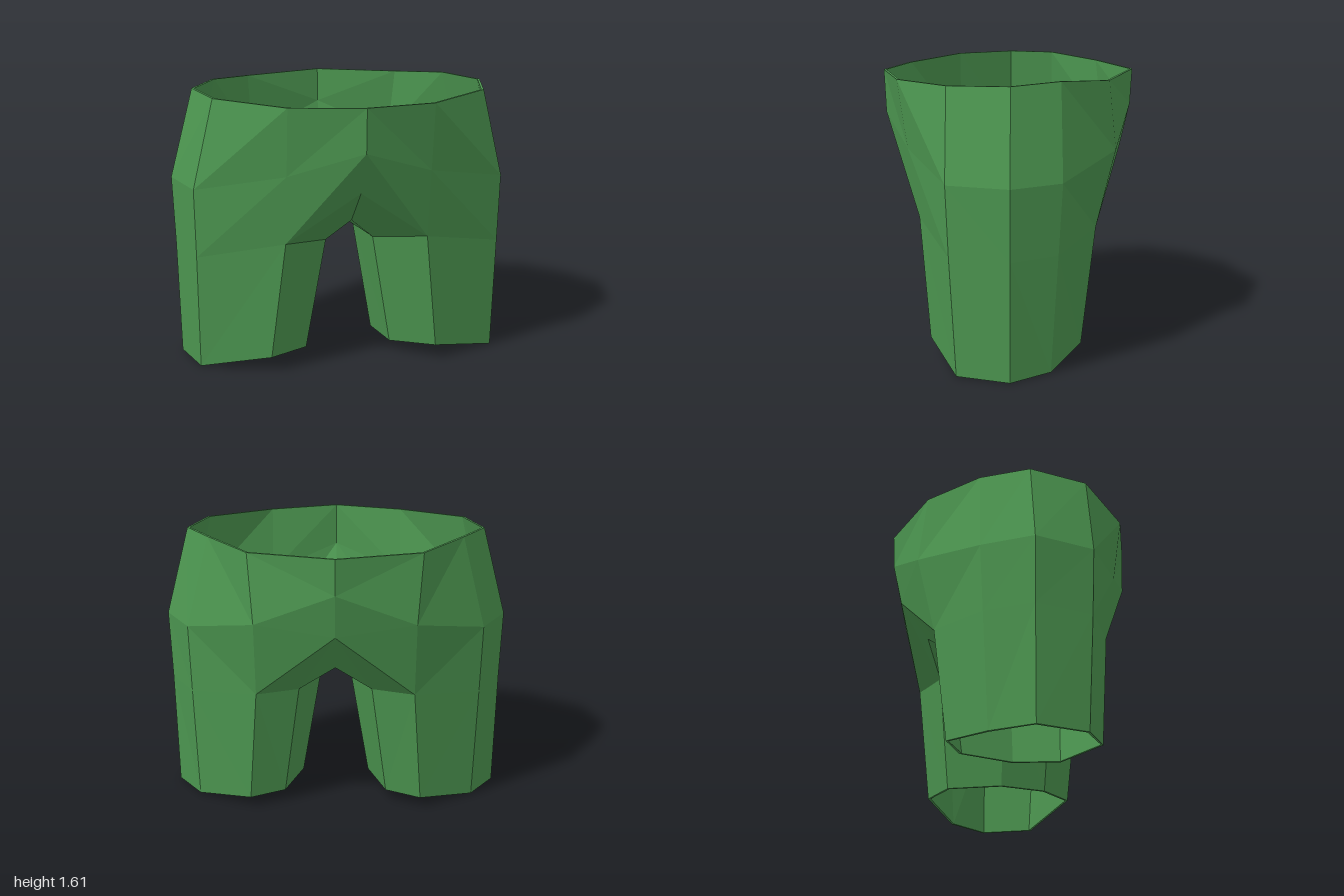
import * as THREE from 'three';

const THICKNESS = 0.015;

// Cross-sections of the left half (x >= 0), each running front to back
const waist = [[0, 1.58, 0.73], [0.41, 1.575, 0.615], [0.78, 1.59, 0.32], [0.865, 1.597, -0.02],
  [0.72, 1.605, -0.29], [0.48, 1.58, -0.565], [0, 1.585, -0.735]];
const hip = [[0, 1.33, 0.72], [0.41, 1.185, 0.56], [0.9, 1.08, 0.325], [1, 1.08, -0.02],
  [0.85, 1.08, -0.3], [0.45, 1.185, -0.61], [0, 1.38, -0.725]];
const thigh = [[0, 1.08, 0.59], [0.41, 0.785, 0.5], [0.893, 0.68, 0.31], [0.985, 0.68, -0.02],
  [0.84, 0.68, -0.28], [0.45, 0.74, -0.505], [0, 1.13, -0.67]];
// Crotch: centre ridge and the inner top edge of the leg
const ridge = [[0, 0.86, 0.34], [0, 0.795, -0.02], [0, 0.9, -0.5]];
const inner = [[0.14, 0.735, 0.28], [0.085, 0.735, -0.02], [0.21, 0.735, -0.4]];
// Leg opening, in the order front, outside, back, inside
const hem = [[0.49, 0.09, 0.44], [0.885, 0.005, 0.275], [0.97, 0, -0.02], [0.82, 0.005, -0.245],
  [0.5, 0.06, -0.427], [0.3, 0.065, -0.33], [0.2, 0.065, -0.02], [0.255, 0.065, 0.25]];

export function createModel() {
  const points = [];
  const add = (row) => row.map((p) => points.push(new THREE.Vector3(...p)) - 1);
  const [W, H, T, G, I, B] = [waist, hip, thigh, ridge, inner, hem].map(add);
  const count = points.length;

  const outer = [];
  const quad = (list, a, b, c, d) => list.push([a, b, c], [a, c, d]);
  const strip = (list, top, bottom) => {
    for (let i = 0; i < top.length - 1; i++) quad(list, top[i], bottom[i], bottom[i + 1], top[i + 1]);
  };

  // Body, crotch strip and leg
  strip(outer, W, H);
  strip(outer, H, T);
  const gussetEdge = [T[1], ...I, T[5]];
  const gussetRidge = [T[0], ...G, T[6]];
  strip(outer, gussetEdge, gussetRidge);
  const legTop = [T[1], T[2], T[3], T[4], T[5], I[2], I[1], I[0], T[1]];
  const legHem = [...B, B[0]];
  strip(outer, legTop, legHem);

  // Lining: the outer skin moved inwards along averaged normals
  const normals = points.map(() => new THREE.Vector3());
  for (const [a, b, c] of outer) {
    const n = points[b].clone().sub(points[a]).cross(points[c].clone().sub(points[a])).normalize();
    for (const k of [a, b, c]) normals[k].add(n);
  }
  for (let k = 0; k < count; k++) {
    const n = normals[k];
    if (points[k].x === 0) n.x = 0;
    // Openings keep their height
    if (W.includes(k) || B.includes(k)) n.y = 0;
    points.push(points[k].clone().addScaledVector(n.normalize(), -THICKNESS));
  }
  const lining = outer.map(([a, b, c]) => [a + count, c + count, b + count]);

  // Thin rims closing the waist and the leg opening
  const shift = (row) => row.map((k) => k + count);
  const waistRim = [], hemRim = [];
  strip(waistRim, shift(W), W);
  strip(hemRim, legHem, shift(legHem));

  // Each half is emitted twice, mirrored across x = 0
  const material = new THREE.MeshStandardMaterial({ color: 0x4c9650, flatShading: true });
  const build = (name, triangles) => {
    const data = [];
    for (const [a, b, c] of triangles) {
      for (const k of [a, b, c]) data.push(points[k].x, points[k].y, points[k].z);
      for (const k of [a, c, b]) data.push(-points[k].x, points[k].y, points[k].z);
    }
    const geometry = new THREE.BufferGeometry();
    geometry.setAttribute('position', new THREE.Float32BufferAttribute(data, 3));
    geometry.computeVertexNormals();
    const mesh = new THREE.Mesh(geometry, material);
    mesh.name = name;
    return mesh;
  };

  const group = new THREE.Group();
  group.name = 'shorts';
  group.add(
    build('outerFabric', outer),
    build('lining', lining),
    build('waistRim', waistRim),
    build('legRims', hemRim),
  );
  return group;
}
